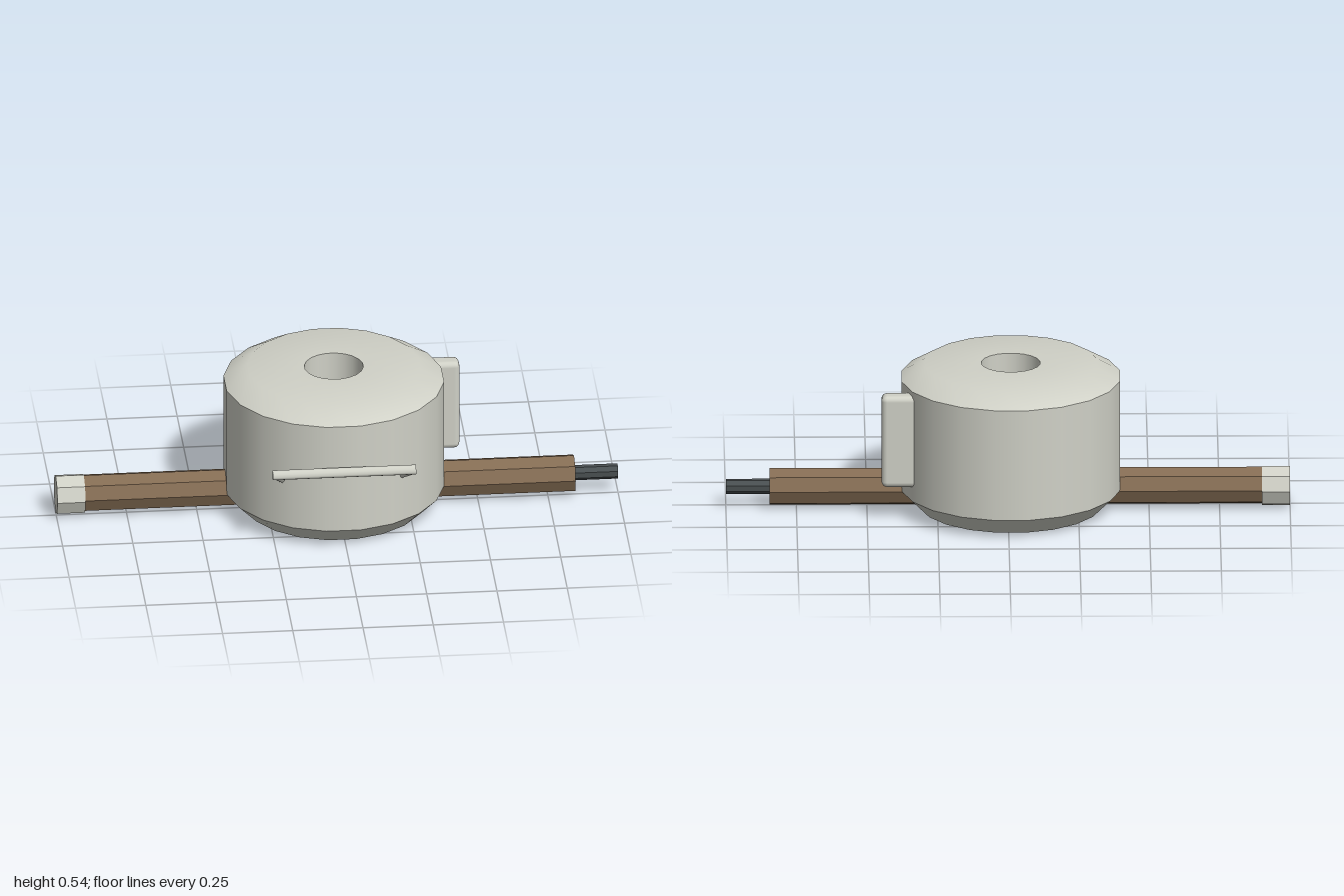
import * as THREE from 'three';
import { RoundedBoxGeometry } from 'three/addons/geometries/RoundedBoxGeometry.js';

export function createModel() {
  const mat = (name, color, flatShading = false) => {
    const m = new THREE.MeshStandardMaterial({ color, flatShading });
    m.name = name;
    return m;
  };
  const paleMetal = mat('paleMetal', 0xd0d1c7);
  const wood = mat('wood', 0x856d54);
  const darkMetal = mat('darkMetal', 0x494f51);
  const greenGrey = mat('greenGrey', 0x84968d);

  const model = new THREE.Group();
  model.name = 'drumOnPole';
  const add = (name, geo, material, x = 0, y = 0, z = 0, parent = model) => {
    const mesh = new THREE.Mesh(geo, material);
    mesh.name = name;
    mesh.position.set(x, y, z);
    parent.add(mesh);
    return mesh;
  };

  // Drum: each profile is smooth, with sharp rims between profiles
  const CX = -0.01, CZ = -0.018, SIDES = 20, HOLE = 0.105, FLOOR = 0.3;
  const drum = new THREE.Group();
  drum.name = 'drum';
  drum.position.set(CX, 0, CZ);
  model.add(drum);
  const profiles = {
    drumBase: [[0, 0.007], [0.325, 0.007]],
    lowerBevel: [[0.325, 0.007], [0.392, 0.075]],
    drumWall: [[0.392, 0.075], [0.392, 0.485]],
    drumTop: [[0.392, 0.485], [0.307, 0.535], [HOLE, 0.535]],
    holeWall: [[HOLE, 0.535], [HOLE, FLOOR]],
  };
  for (const [name, pts] of Object.entries(profiles)) {
    const curve = pts.map(([r, y]) => new THREE.Vector2(r, y));
    add(name, new THREE.LatheGeometry(curve, SIDES, Math.PI / SIDES), paleMetal, 0, 0, 0, drum);
  }
  const floor = new THREE.CircleGeometry(HOLE, SIDES, Math.PI / SIDES).rotateX(-Math.PI / 2);
  add('holeFloor', floor, greenGrey, 0, FLOOR, 0, drum);
  add('basePanel', new THREE.BoxGeometry(0.4, 0.004, 0.2), greenGrey, 0, 0.006, 0, drum);

  // Octagonal pole with an end cap and a nozzle, all lying along x
  const rod = (name, x0, x1, r, material, y, turn = 0) => {
    const geo = new THREE.CylinderGeometry(r, r, x1 - x0, 8).rotateY(turn).rotateZ(Math.PI / 2);
    add(name, geo.toNonIndexed(), material, (x0 + x1) / 2, y, CZ).geometry.computeVertexNormals();
  };
  rod('poleLeft', 0.2, 0.845, 0.068, wood, 0.075);
  rod('poleRight', -0.9, -0.2, 0.068, wood, 0.075);
  rod('endCap', -1, -0.9, 0.0725, paleMetal, 0.0725);
  rod('nozzle', 0.84, 1, 0.027, darkMetal, 0.075, Math.PI / 8);

  // Upright rounded grip on the side of the drum
  add('sideGrip', new RoundedBoxGeometry(0.16, 0.34, 0.066, 2, 0.02), paleMetal, 0.37, 0.298, -0.17);

  // Tilted front handle: an oval bar on two arms
  const handle = new THREE.Group();
  handle.name = 'frontHandle';
  handle.position.set(CX, 0.314, 0.388);
  handle.rotation.x = -0.55;
  model.add(handle);
  const bar = new THREE.CylinderGeometry(1, 1, 0.51, 10).rotateZ(Math.PI / 2).scale(1, 0.018, 0.012);
  add('handleBar', bar, paleMetal, 0, 0, 0, handle);
  for (const side of [-1, 1]) {
    const arm = new THREE.CylinderGeometry(1, 1, 0.15, 10).rotateX(Math.PI / 2).scale(0.013, 0.018, 1);
    const mesh = add(side > 0 ? 'leftArm' : 'rightArm', arm, paleMetal, side * 0.222, 0, -0.074, handle);
    mesh.rotation.y = side * 0.25;
  }
  return model;
}
